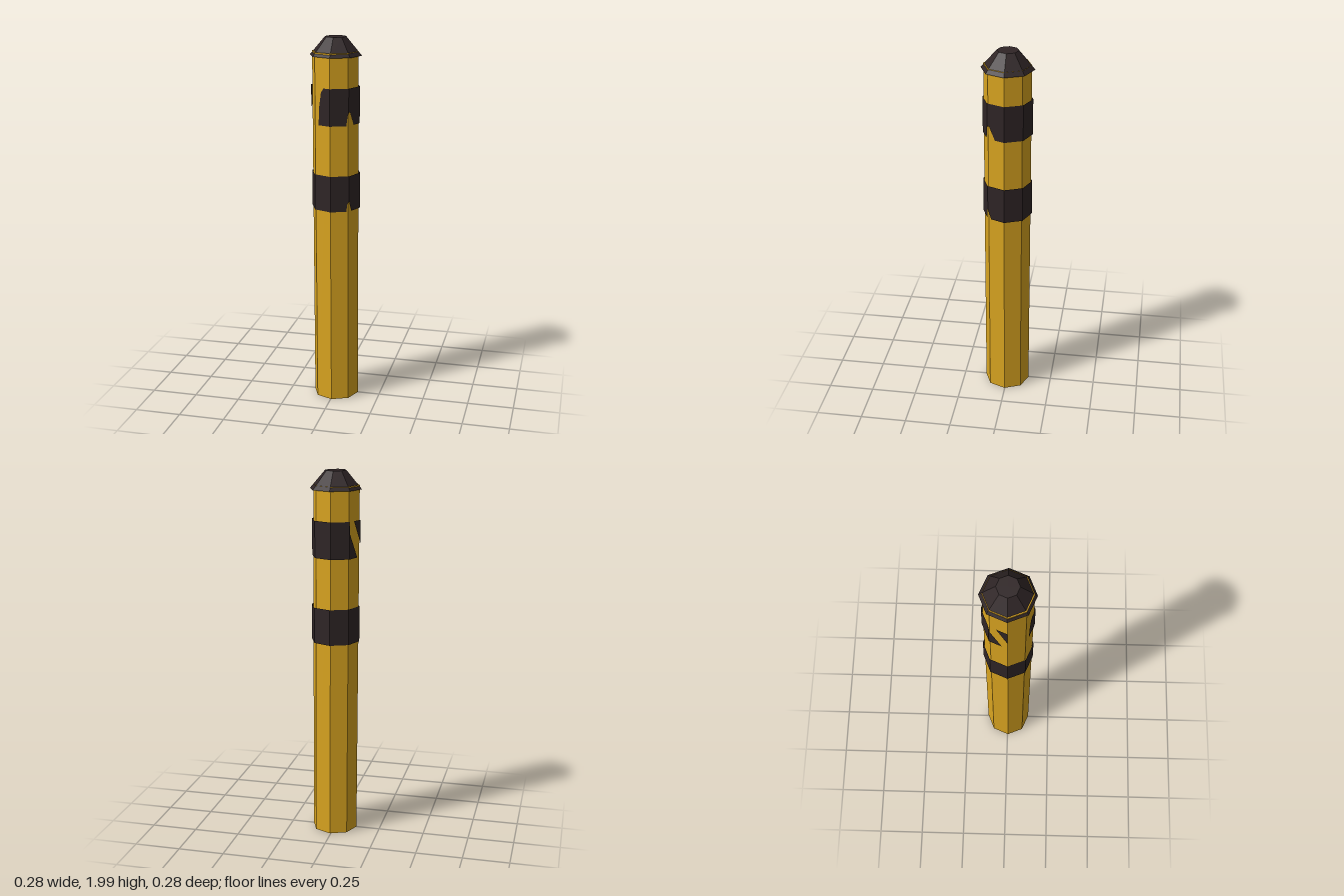
import * as THREE from 'three';
import { mergeGeometries } from 'three/addons/utils/BufferGeometryUtils.js';

const SIDES = 8;

// Wraps flat polygons onto the eight-sided post.
// Each point is [s, y]; s counts corners round the post, starting at the front corner.
function wrapPatches(polygons, radius) {
  const corner = (i) => {
    const a = (i / SIDES) * Math.PI * 2;
    return new THREE.Vector2(Math.sin(a) * radius, Math.cos(a) * radius);
  };
  const parts = polygons.map(({ face, points }) => {
    const shape = new THREE.Shape(points.map(([s, y]) => new THREE.Vector2(s, y)));
    const geo = new THREE.ShapeGeometry(shape).toNonIndexed();
    const pos = geo.attributes.position;
    const from = corner(face);
    const to = corner(face + 1);
    for (let i = 0; i < pos.count; i++) {
      const p = from.clone().lerp(to, pos.getX(i) - face);
      pos.setXYZ(i, p.x, pos.getY(i), p.y);
    }
    geo.computeVertexNormals();
    return geo;
  });
  return mergeGeometries(parts);
}

// Band round the post: full faces, except those given their own outlines
function bandGeometry(bottom, top, radius, worn) {
  const polygons = [];
  for (let face = 0; face < SIDES; face++) {
    const outlines = worn[face] ?? [
      [[face, bottom], [face + 1, bottom], [face + 1, top], [face, top]],
    ];
    outlines.forEach((points) => polygons.push({ face, points }));
  }
  return wrapPatches(polygons, radius);
}

export function createModel() {
  const yellow = new THREE.MeshStandardMaterial({ color: 0xdaa520, flatShading: true });
  yellow.name = 'golden yellow';
  const dark = new THREE.MeshStandardMaterial({ color: 0x2f2526, flatShading: true, side: THREE.DoubleSide });
  dark.name = 'dark brown';

  const model = new THREE.Group();
  model.name = 'bollard';
  const add = (name, geometry, material, x = 0, y = 0, z = 0) => {
    const mesh = new THREE.Mesh(geometry, material);
    mesh.name = name;
    mesh.position.set(x, y, z);
    model.add(mesh);
    return mesh;
  };

  // Post, leaning very slightly
  const post = add('post', new THREE.CylinderGeometry(0.124, 0.124, 1.92, SIDES), yellow, 0.001, 0.965, 0.002);
  post.rotation.z = 0.004;

  // Bevelled cap
  add('cap', new THREE.CylinderGeometry(0.057, 0.139, 0.096, SIDES), dark, 0, 1.951, 0);

  // Lower band, with a small chip at the front right corner
  const b1 = 1.09, t1 = 1.283;
  add('lowerBand', bandGeometry(b1, t1, 0.131, {
    0: [[[0, b1], [0.85, b1], [0.9, 1.13], [1, 1.145], [1, t1], [0, t1]]],
    1: [[[1, 1.145], [1.2, b1], [2, b1], [2, t1], [1, t1]]],
  }), dark, 0.002, 0, 0.001);

  // Upper band, chipped at the front right and worn away on the left
  const b2 = 1.55, t2 = 1.745;
  add('upperBand', bandGeometry(b2, t2, 0.131, {
    0: [[[0, b2], [0.88, b2], [0.94, 1.6], [1, 1.62], [1, t2], [0, t2]]],
    1: [[[1, 1.62], [1.12, 1.62], [1.45, b2], [2, b2], [2, t2], [1, t2]]],
    5: [
      [[5, b2], [5.7, b2], [5.05, 1.68], [5, t2]],
      [[5.4, t2], [6, 1.62], [6, t2]],
    ],
    6: [],
    7: [[[7.3, b2], [8, b2], [8, t2], [7.6, t2], [7.45, 1.72], [7.33, 1.64]]],
  }), dark, -0.002, 0, 0.001);

  return model;
}
